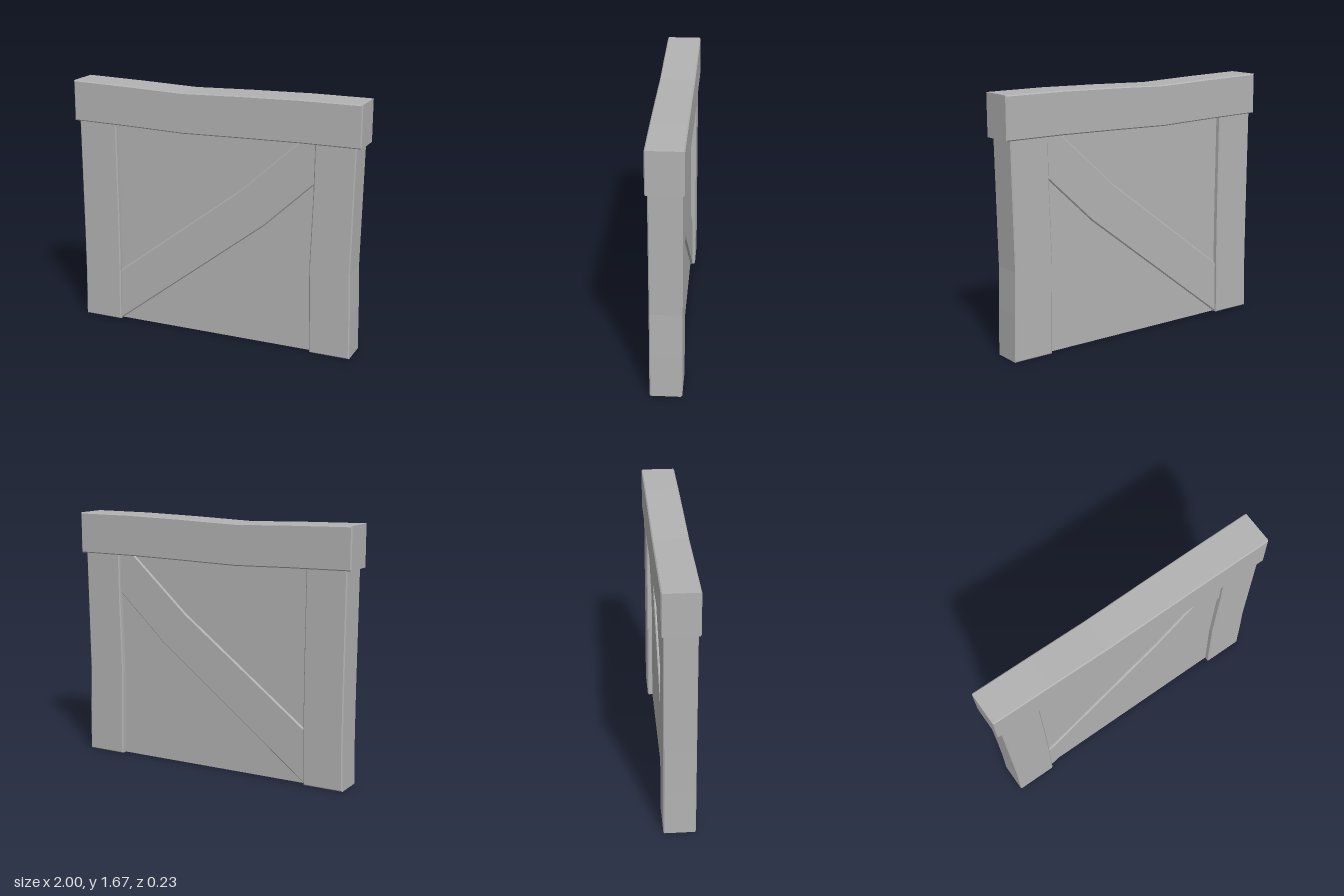
import * as THREE from 'three';

const BEVEL = 0.007;

// Extrudes a front outline symmetrically about z = 0, with chamfered edges.
function timber(name, outline, halfDepth, material, bevel = BEVEL) {
  const shape = new THREE.Shape(outline.map(([x, y]) => new THREE.Vector2(x, y)));
  const geometry = new THREE.ExtrudeGeometry(shape, {
    depth: 2 * (halfDepth - bevel),
    bevelEnabled: bevel > 0,
    bevelThickness: bevel,
    bevelSize: bevel,
    bevelOffset: -bevel,
    bevelSegments: 1,
  });
  geometry.translate(0, 0, -(halfDepth - bevel));
  const mesh = new THREE.Mesh(geometry, material);
  mesh.name = name;
  return mesh;
}

export function createModel() {
  const group = new THREE.Group();
  group.name = 'timberWallPanel';
  const grey = new THREE.MeshStandardMaterial({ color: 0xb2b2b2 });
  grey.name = 'plainGrey';

  // Recessed infill between the posts
  group.add(timber('infillPanel',
    [[-0.8, 0.003], [0.8, 0.003], [0.8, 1.45], [-0.8, 1.45]], 0.068, grey, 0));

  // Slightly warped posts
  group.add(timber('rightPost',
    [[-0.97, 0], [-0.698, 0], [-0.692, 0.4], [-0.692, 0.8], [-0.697, 1.4],
      [-0.97, 1.4], [-0.964, 0.6], [-0.964, 0.3]], 0.102, grey));
  group.add(timber('leftPost',
    [[0.695, 0], [0.967, 0], [0.962, 0.3], [0.953, 0.58], [0.967, 1.4],
      [0.7, 1.4], [0.697, 1.1], [0.682, 0.58]], 0.102, grey));

  // Bent diagonal brace, its ends housed in the posts and beam
  group.add(timber('diagonalBrace',
    [[-0.72, 0.003], [-0.697, 0.003], [-0.2, 0.385], [0.36, 0.815], [0.75, 1.18], [0.75, 1.43],
      [0.63, 1.43], [0.19, 1.03], [-0.2, 0.735], [-0.72, 0.34]], 0.082, grey));

  // Sagging top beam
  group.add(timber('topBeam',
    [[-1, 1.395], [-0.6, 1.388], [-0.2, 1.377], [0.2, 1.386], [0.6, 1.393], [1, 1.393],
      [1, 1.667], [0.6, 1.667], [0.2, 1.658], [-0.2, 1.645], [-0.6, 1.658], [-1, 1.667]],
    0.115, grey));

  return group;
}
